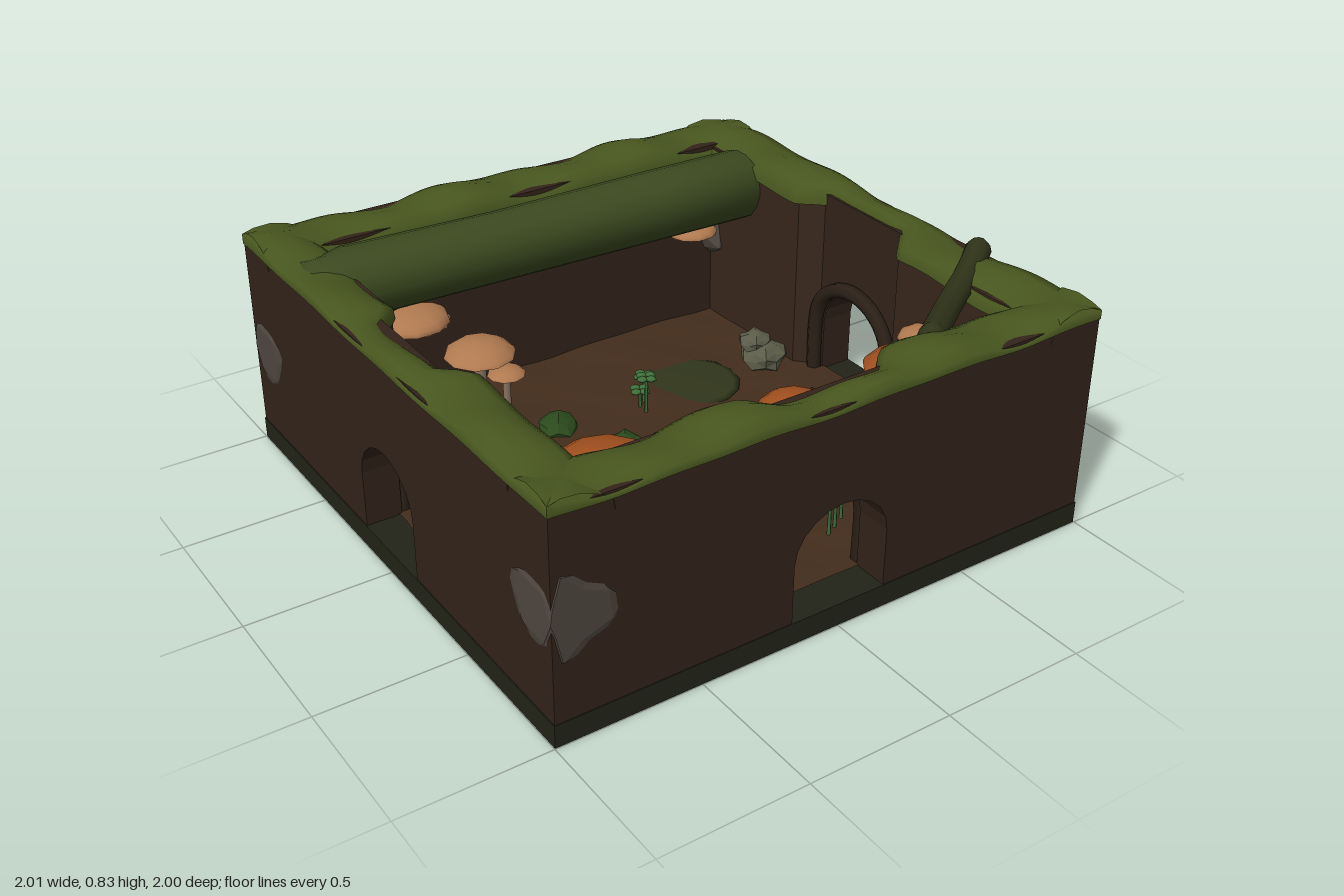
import * as THREE from 'three';

const mat = (color, flat = false, side = THREE.FrontSide) =>
  new THREE.MeshStandardMaterial({ color, flatShading: flat, side });
const EARTH = mat(0x33231a), INNER = mat(0x38271c), MOSS = mat(0x48561f, false, THREE.DoubleSide);
const BARK = mat(0x2b2017), LOG = mat(0x3c4a20), BRANCH = mat(0x2f3318);
const STONE = mat(0x4f4740, true), PEBBLE = mat(0x5a5b48, true), BUSH = mat(0x2b4a1d, true);
const ORANGE = mat(0xa2501f), PEACH = mat(0xb07a50), CREAM = mat(0x9c7f66, false, THREE.DoubleSide);
const STEM = mat(0x8a7460), SPROUT = mat(0x40703a, false, THREE.DoubleSide);

function add(parent, name, geo, material, x = 0, y = 0, z = 0) {
  const m = new THREE.Mesh(geo, material);
  m.name = name;
  m.position.set(x, y, z);
  parent.add(m);
  return m;
}

const ripple = (x, z) => 0.011 * Math.sin(9 * x + 4 * z + 1) + 0.008 * Math.sin(17 * x - 13 * z);

// Grid of points joined into a surface: fn(i, j) returns [x, y, z]
function surface(rows, cols, fn) {
  const pos = [], idx = [];
  for (let i = 0; i <= rows; i++) for (let j = 0; j <= cols; j++) pos.push(...fn(i, j));
  for (let i = 0; i < rows; i++) for (let j = 0; j < cols; j++) {
    const a = i * (cols + 1) + j, b = a + cols + 1;
    idx.push(a, b, a + 1, b, b + 1, a + 1);
  }
  const g = new THREE.BufferGeometry();
  g.setAttribute('position', new THREE.Float32BufferAttribute(pos, 3));
  g.setIndex(idx);
  g.computeVertexNormals();
  return g;
}

// Irregular stone, optionally cut flush with the outer wall planes
function stoneGeo(c, r, limX = 9, limZ = 9) {
  const g = new THREE.IcosahedronGeometry(1, 1), p = g.attributes.position;
  for (let i = 0; i < p.count; i++) {
    const x = p.getX(i), y = p.getY(i), z = p.getZ(i);
    const k = 1 + 0.12 * Math.sin(5 * x + 3 * y + 4 * z + c[0] * 9);
    const clamp = THREE.MathUtils.clamp;
    p.setXYZ(i, clamp(c[0] + x * r[0] * k, -limX, limX), c[1] + y * r[1] * k,
      clamp(c[2] + z * r[2] * k, -limZ, limZ));
  }
  g.computeVertexNormals();
  return g;
}

// One wall, running along local x with its outside at local +z
function wall(parent, name, angle, arched) {
  const g = new THREE.Group();
  g.name = name;
  g.rotation.y = angle;
  parent.add(g);
  const inner = (u) => arched ? 0.79 + 0.085 * (1 - THREE.MathUtils.clamp((Math.abs(u) - 0.19) / 0.08, 0, 1)) : 0.79;

  if (arched) {
    // Outer panel with a doorway
    const s = new THREE.Shape();
    s.moveTo(-0.995, 0.075);
    s.lineTo(-0.175, 0.075);
    for (let i = 0; i <= 10; i++) {
      const a = Math.PI * (1 - i / 10);
      s.lineTo(0.175 * Math.cos(a), 0.28 + 0.16 * Math.sin(a));
    }
    s.lineTo(0.175, 0.075);
    s.lineTo(0.995, 0.075);
    s.lineTo(0.995, 0.775);
    s.lineTo(-0.995, 0.775);
    add(g, 'doorwayPanel', new THREE.ExtrudeGeometry(s, { depth: 0.125, bevelEnabled: false }), EARTH, 0, 0, 0.87);
    // Inner thickness, chamfered back around the doorway
    for (const d of [-1, 1]) {
      const plan = new THREE.Shape([[0.19, 0.88], [0.27, 0.805], [0.98, 0.805], [0.98, 0.88]]
        .map(([u, w]) => new THREE.Vector2(d * u, -w)));
      const geo = new THREE.ExtrudeGeometry(plan, { depth: 0.69, bevelEnabled: false });
      geo.rotateX(-Math.PI / 2);
      add(g, 'innerWall', geo, INNER, 0, 0.075, 0);
    }
    // Bark arch around the doorway
    const pts = [new THREE.Vector3(-0.2, 0.07, 0)];
    for (let i = 0; i <= 8; i++) {
      const a = Math.PI * (1 - i / 8);
      pts.push(new THREE.Vector3(0.2 * Math.cos(a), 0.28 + 0.185 * Math.sin(a), 0));
    }
    pts.push(new THREE.Vector3(0.2, 0.07, 0));
    add(g, 'doorArch', new THREE.TubeGeometry(new THREE.CatmullRomCurve3(pts), 32, 0.028, 6), BARK, 0, 0, 0.85);
  } else {
    add(g, 'solidWall', new THREE.BoxGeometry(1.99, 0.7, 0.19), EARTH, 0, 0.425, 0.9);
  }

  // Uneven moss cap: [fraction across, height]
  const prof = [[0, 0.755], [0, 0.782], [0.2, 0.796], [0.5, 0.804], [0.8, 0.79], [0.97, 0.77], [1, 0.73]];
  const c = Math.cos(angle), sn = Math.sin(angle);
  add(g, 'mossCap', surface(64, prof.length - 1, (i, j) => {
    const u = -0.998 + 1.996 * i / 64, w = THREE.MathUtils.lerp(0.998, inner(u), prof[j][0]);
    const n = ripple(u * c + w * sn, w * c - u * sn);
    return [u, prof[j][1] + n * (j === 0 ? 0.3 : 1), w];
  }), MOSS);
}

function mushroom(parent, x, z, top, r, capMat = ORANGE, lean = 0) {
  const g = new THREE.Group();
  g.name = 'mushroom';
  g.position.set(x, 0, z);
  parent.add(g);
  const h = r * 0.42, y = top - h;
  const v = (a, b) => new THREE.Vector2(a * r, b * h);
  add(g, 'cap', new THREE.LatheGeometry([v(1, 0), v(0.95, 0.25), v(0.7, 0.68), v(0.35, 0.93), v(0, 1)], 10), capMat, 0, y);
  add(g, 'gills', new THREE.LatheGeometry([v(0.15, 0.3), v(0.6, 0.15), v(1, 0)], 10), CREAM, 0, y);
  const path = new THREE.CatmullRomCurve3([new THREE.Vector3(lean, 0.07, lean),
    new THREE.Vector3(lean * 0.3, (y + 0.07) / 2, 0), new THREE.Vector3(0, y + h * 0.4, 0)]);
  add(g, 'stem', new THREE.TubeGeometry(path, 8, Math.max(0.014, r * 0.16), 7), STEM);
}

// Half-disc fungus growing from a wall
function shelf(parent, x, y, z, r) {
  const m = add(parent, 'shelfFungus', new THREE.SphereGeometry(r, 10, 6, 0, Math.PI * 2, 0, Math.PI / 2), PEACH, x, y, z);
  m.scale.y = 0.4;
  const u = add(parent, 'shelfUnderside', new THREE.ConeGeometry(r, r * 0.3, 10), CREAM, x, y - r * 0.15, z);
  u.rotation.x = Math.PI;
}

function clover(parent, x, z, top) {
  const g = new THREE.Group();
  g.name = 'clover';
  g.position.set(x, 0, z);
  parent.add(g);
  add(g, 'stalk', new THREE.CylinderGeometry(0.005, 0.007, top - 0.07, 5), SPROUT, 0, (top + 0.07) / 2);
  for (let i = 0; i < 4; i++) {
    const a = i * Math.PI / 2 + x * 9;
    const leaf = add(g, 'cloverLeaf', new THREE.SphereGeometry(0.021, 6, 4), SPROUT, 0.022 * Math.cos(a), top, 0.022 * Math.sin(a));
    leaf.scale.y = 0.4;
  }
}

function leaf(parent, x, z, len, angle, color) {
  const pts = [];
  for (let i = 0; i <= 12; i++) {
    const t = i / 12;
    pts.push(new THREE.Vector2((t - 0.5) * len, len * (0.33 * Math.sin(Math.PI * t) + (i % 2 && i < 12 ? 0.035 : 0))));
  }
  const outline = pts.concat(pts.slice(1, -1).reverse().map((p) => new THREE.Vector2(p.x, -p.y)));
  const geo = new THREE.ShapeGeometry(new THREE.Shape(outline)).rotateX(-Math.PI / 2);
  const m = add(parent, 'fallenLeaf', geo, mat(color, false, THREE.DoubleSide), x, 0.115, z);
  m.rotation.y = angle;
  const stalk = add(m, 'leafStalk', new THREE.CylinderGeometry(0.005, 0.005, len * 1.25, 5), BARK, -len * 0.08, 0, 0);
  stalk.rotation.z = Math.PI / 2;
}

export function createModel() {
  const model = new THREE.Group();
  model.name = 'burrowRoom';

  // Ground
  add(model, 'baseSlab', new THREE.BoxGeometry(1.996, 0.078, 1.996), mat(0x222418), 0, 0.039, 0);
  add(model, 'soil', surface(24, 24, (i, j) => {
    const x = -0.88 + 1.76 * i / 24, z = 0.88 - 1.76 * j / 24;
    return [x, 0.087 + 0.4 * ripple(x, z), z];
  }), mat(0x432d1c, false, THREE.DoubleSide));
  for (const [x, z, r] of [[-0.5, -0.2, 0.2], [0.25, 0.12, 0.2], [-0.15, 0.35, 0.22], [0.4, -0.35, 0.18], [-0.45, 0.3, 0.17]])
    add(model, 'mossPatch', new THREE.SphereGeometry(r, 14, 6), mat(0x30361b), x, 0.085, z).scale.y = 0.05;

  // Walls
  wall(model, 'frontWall', 0, true);
  wall(model, 'leftWall', Math.PI / 2, true);
  wall(model, 'rightWall', -Math.PI / 2, true);
  wall(model, 'backWall', Math.PI, false);

  // Stones embedded in the corners
  for (const [c, r, lx, lz] of [
    [[-0.9, 0.42, 0.9], [0.19, 0.16, 0.19], 1, 1], [[0.9, 0.35, 0.87], [0.18, 0.13, 0.15], 1, 0.985],
    [[0.9, 0.43, -0.9], [0.19, 0.17, 0.18], 1, 1], [[-0.9, 0.38, -0.9], [0.19, 0.16, 0.18], 1, 1]])
    add(model, 'cornerStone', stoneGeo(c, r, lx, lz), STONE);

  // Mossy log across the back, with a splintered tip
  const stations = [[-0.95, 0.76, 0.02], [-0.93, 0.74, 0.075], [-0.85, 0.715, 0.1], [-0.78, 0.705, 0.125], [-0.2, 0.69, 0.122],
    [0.4, 0.685, 0.128], [0.81, 0.68, 0.13], [0.81, 0.68, 0]];
  add(model, 'fallenLog', surface(stations.length - 1, 14, (i, j) => {
    const [x, y, r] = stations[i], a = j / 14 * Math.PI * 2, k = r * (1 + 0.04 * Math.sin(3 * a));
    return [x, y + k * Math.sin(a), -0.63 - k * Math.cos(a)];
  }), mat(LOG.color, false, THREE.DoubleSide));

  // Branch and root across the front corners
  for (const [name, r, pts] of [
    ['cornerBranch', 0.045, [[0.47, 0.77, 0.81], [0.7, 0.745, 0.64], [0.86, 0.76, 0.54], [0.97, 0.79, 0.47]]],
    ['cornerRoot', 0.035, [[-0.84, 0.62, 0.32], [-0.7, 0.5, 0.45], [-0.6, 0.42, 0.6], [-0.5, 0.4, 0.84]]]]) {
    const v = pts.map((p) => new THREE.Vector3(...p));
    add(model, name, new THREE.TubeGeometry(new THREE.CatmullRomCurve3(v), 16, r, 8), BRANCH);
    for (const p of [v[0], v[3]]) add(model, name + 'End', new THREE.SphereGeometry(r, 8, 6), BRANCH, p.x, p.y, p.z);
  }

  // Mushrooms and shelf fungi
  for (const m of [[-0.59, 0.63, 0.64, 0.18], [-0.42, 0.74, 0.46, 0.09, PEACH, 0.02], [0.6, 0.57, 0.57, 0.145, ORANGE, 0.03],
    [0.37, 0.29, 0.35, 0.125], [0.33, 0.2, 0.21, 0.065, ORANGE, 0.01], [-0.32, -0.63, 0.35, 0.13, PEACH], [-0.25, -0.57, 0.25, 0.07, PEACH]])
    mushroom(model, ...m);
  shelf(model, -0.5, 0.41, -0.79, 0.14);
  shelf(model, 0.7, 0.45, -0.79, 0.1);
  shelf(model, 0.78, 0.51, 0.45, 0.09);

  // Bushes, pebbles, leaves and clover
  for (const [x, z, r] of [[-0.17, -0.35, 0.075], [-0.04, -0.12, 0.065], [-0.04, 0.12, 0.065], [-0.77, 0.17, 0.09], [-0.27, 0.47, 0.073], [-0.04, 0.45, 0.095]])
    add(model, 'mossClump', stoneGeo([x, 0.085, z], [r, r * 0.65, r]), BUSH);
  for (const [x, y, z, r] of [[-0.7, 0.12, -0.35, 0.095], [-0.68, 0.17, -0.37, 0.07], [0.7, 0.13, -0.31, 0.085], [0.68, 0.18, -0.34, 0.06], [0.32, 0.1, 0.57, 0.033]])
    add(model, 'pebble', stoneGeo([x, y, z], [r, r * 0.7, r]), PEBBLE);
  leaf(model, -0.39, 0.01, 0.27, -0.6, 0x6a401f);
  leaf(model, 0.74, 0.18, 0.3, -1.4, 0x4a4a20);
  for (const [x, z, h] of [[0.14, -0.26, 0.23], [0.17, -0.32, 0.2], [0.14, -0.3, 0.16], [-0.31, 0.68, 0.2], [-0.28, 0.71, 0.16],
    [0.2, 0.7, 0.24], [0.24, 0.68, 0.2], [0.29, 0.65, 0.17], [-0.76, -0.69, 0.24], [-0.72, -0.67, 0.19]])
    clover(model, x, z, h);

  return model;
}
